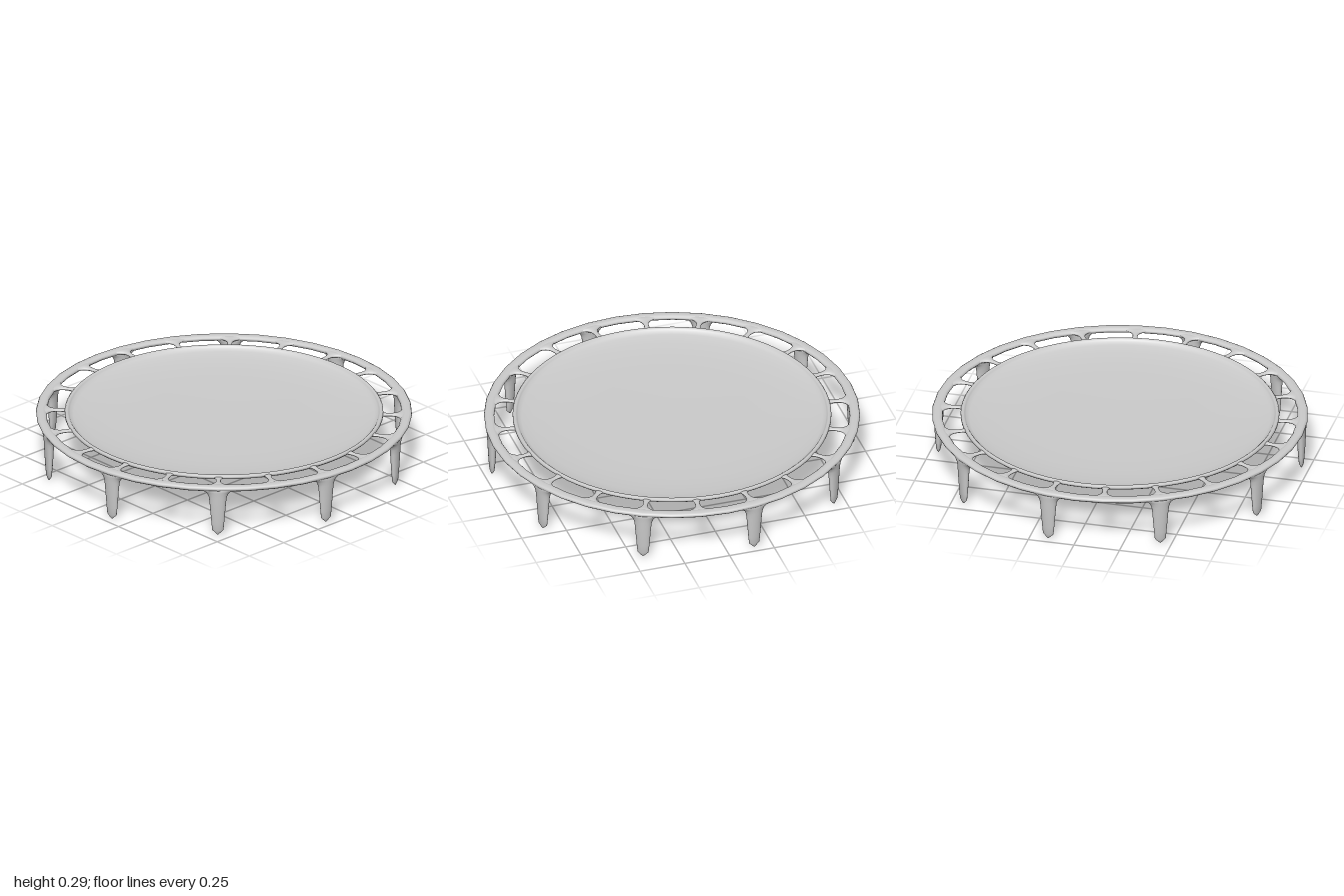
import * as THREE from 'three';
import { mergeVertices } from 'three/addons/utils/BufferGeometryUtils.js';

const material = new THREE.MeshStandardMaterial({ color: 0xcccccc });

// Smooth solid with elliptical sections [position along y, half width x, half depth z]
function loft(sections, sides = 20) {
  const g = new THREE.LatheGeometry(sections.map(([s, w]) => new THREE.Vector2(w, s)), sides);
  const p = g.attributes.position;
  for (let i = 0; i < p.count; i++) {
    const [, w, d] = sections[i % sections.length];
    p.setZ(i, p.getZ(i) * d / w);
  }
  g.deleteAttribute('uv');
  g.deleteAttribute('normal');
  const merged = mergeVertices(g, 1e-5);
  merged.computeVertexNormals();
  return merged;
}

function revolve(name, points, segments) {
  const profile = points.map(([x, y]) => new THREE.Vector2(x, y));
  const mesh = new THREE.Mesh(new THREE.LatheGeometry(profile, segments), material);
  mesh.name = name;
  return mesh;
}

// Copies of one part around the y axis, the first one 9 degrees off the front
function radial(name, geometry, count) {
  const group = new THREE.Group();
  group.name = name + 's';
  for (let i = 0; i < count; i++) {
    const mesh = new THREE.Mesh(geometry, material);
    mesh.name = name;
    mesh.rotation.y = Math.PI / 20 + i * Math.PI * 2 / count;
    group.add(mesh);
  }
  return group;
}

export function createModel() {
  const model = new THREE.Group();
  model.name = 'trampoline';

  // Shallow sagging bed with a raised bead along its edge
  model.add(revolve('bed', [
    [0, 0.23], [0.45, 0.231], [0.62, 0.235], [0.74, 0.245], [0.81, 0.258],
    [0.838, 0.264], [0.847, 0.272], [0.847, 0.281], [0.841, 0.288], [0.832, 0.288],
    [0.825, 0.282], [0.819, 0.273], [0.8, 0.266], [0.74, 0.256], [0.62, 0.247],
    [0.45, 0.243], [0, 0.242],
  ], 80));

  // Outer frame, flattened tube with a slightly faceted outline
  model.add(revolve('outerRing', [
    [0.97, 0.257], [0.987, 0.259], [0.996, 0.266], [1, 0.274], [0.996, 0.281],
    [0.987, 0.286], [0.965, 0.287], [0.952, 0.284], [0.946, 0.277], [0.945, 0.269],
    [0.953, 0.26], [0.97, 0.257],
  ], 40));

  // Thin spokes that widen into the frame and the bed
  const spoke = loft([
    [0.832, 0.026, 0.008], [0.848, 0.021, 0.008], [0.86, 0.015, 0.008], [0.88, 0.0125, 0.008],
    [0.9, 0.014, 0.009], [0.915, 0.019, 0.01], [0.927, 0.028, 0.011], [0.937, 0.042, 0.012],
    [0.946, 0.064, 0.012], [0.954, 0.085, 0.011],
  ]);
  spoke.rotateX(Math.PI / 2).translate(0, 0.274, 0);
  model.add(radial('spoke', spoke, 20));

  // Flat tapered legs, pointed below and flaring into the frame above
  const leg = loft([
    [0, 0.001, 0.001], [0.008, 0.01, 0.006], [0.028, 0.03, 0.013], [0.07, 0.034, 0.017],
    [0.13, 0.039, 0.021], [0.19, 0.044, 0.024], [0.22, 0.048, 0.025], [0.24, 0.056, 0.026],
    [0.252, 0.068, 0.027], [0.26, 0.086, 0.027], [0.268, 0.115, 0.025],
  ], 24);
  leg.translate(0, 0, 0.968);
  model.add(radial('leg', leg, 10));

  return model;
}
